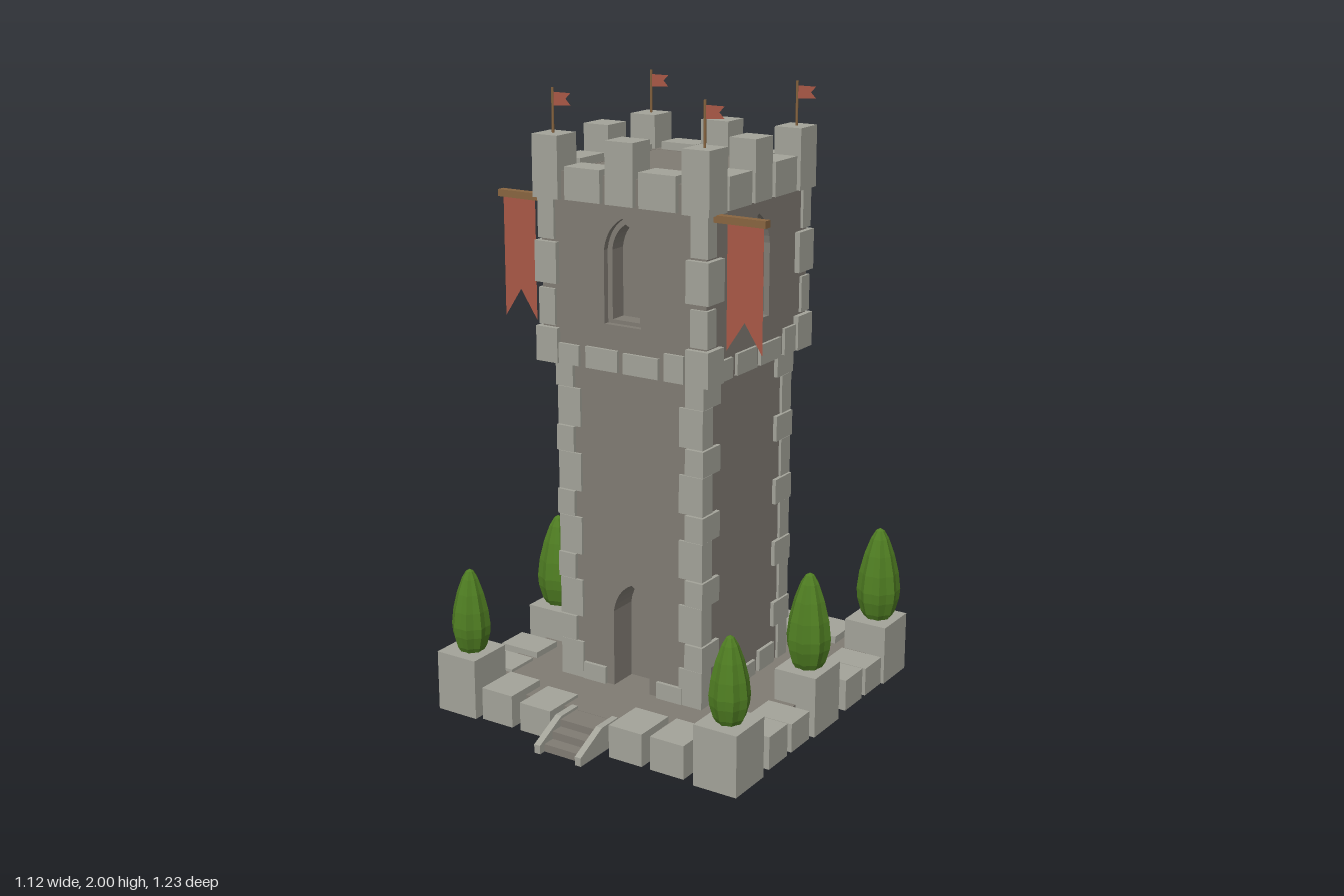
import * as THREE from 'three';

const CX = -0.005, CZ = -0.053; // tower axis

export function createModel() {
  const model = new THREE.Group();
  const mat = (name, color, extra = {}) =>
    Object.assign(new THREE.MeshStandardMaterial({ color, ...extra }), { name });
  const stone = mat('light stone', 0xa3a399);
  const wall = mat('wall stone', 0x807b73);
  const wood = mat('wood', 0x886540);
  const cloth = mat('red cloth', 0xa85846, { side: THREE.DoubleSide });
  const leaf = mat('leaf green', 0x4f7d22, { flatShading: true });

  const add = (name, geo, material, parent = model) => {
    const m = new THREE.Mesh(geo, material);
    m.name = name;
    parent.add(m);
    return m;
  };
  // box given by its limits
  const box = (name, material, x0, x1, y0, y1, z0, z1, parent = model) => {
    const m = add(name, new THREE.BoxGeometry(x1 - x0, y1 - y0, z1 - z0), material, parent);
    m.position.set((x0 + x1) / 2, (y0 + y1) / 2, (z0 + z1) / 2);
    return m;
  };

  // base slab and its ring of stones
  box('baseSlab', wall, -0.485, 0.49, 0.02, 0.095, -0.547, 0.423);
  const backRow = [[-0.394, -0.273, 0.115], [-0.243, -0.123, 0.105], [-0.08, 0.083, 0.2], [0.1, 0.214, 0.11], [0.25, 0.368, 0.12]];
  const frontRow = [[-0.384, -0.266, 0.118], [-0.234, -0.116, 0.105], [0.106, 0.227, 0.118], [0.257, 0.377, 0.12]];
  const leftCol = [[-0.436, -0.325, 0.105], [-0.302, -0.188, 0.115], [-0.142, 0.018, 0.2], [0.054, 0.165, 0.105], [0.191, 0.302, 0.118]];
  const rightCol = [[-0.426, -0.319, 0.118], [-0.29, -0.18, 0.105], [-0.142, 0.018, 0.2], [0.064, 0.175, 0.115], [0.198, 0.312, 0.105]];
  const low = (h) => (h > 0.15 ? 0 : 0.01);
  for (const [a, b, h] of backRow) box('baseStone', stone, a, b, low(h), h, -0.616, -0.472);
  for (const [a, b, h] of frontRow) box('baseStone', stone, a, b, low(h), h, 0.348, 0.497);
  for (const [a, b, h] of leftCol) box('baseStone', stone, 0.413, 0.56, low(h), h, a, b);
  for (const [a, b, h] of rightCol) box('baseStone', stone, -0.554, -0.407, low(h), h, a, b);
  for (const [x0, x1] of [[-0.565, -0.415], [0.41, 0.56]]) {
    box('cornerStone', stone, x0, x1, 0, 0.2, -0.616, -0.459);
    box('cornerStone', stone, x0, x1, 0, 0.2, 0.335, 0.495);
  }

  // entrance steps between sloping cheeks
  for (const [z, y] of [[0.59, 0.045], [0.547, 0.07], [0.505, 0.094]])
    box('step', wall, -0.075, 0.065, 0.02, y, 0.41, z);
  const cheek = new THREE.Shape([[0.413, 0.02], [0.613, 0.02], [0.613, 0.048], [0.5, 0.103], [0.413, 0.103]]
    .map(([z, y]) => new THREE.Vector2(z, y)));
  for (const x of [-0.07, 0.083]) {
    const m = add('stepCheek', new THREE.ExtrudeGeometry(cheek, { depth: 0.022, bevelEnabled: false }), stone);
    m.rotation.y = -Math.PI / 2;
    m.position.x = x;
  }

  // ribbed conical bushes
  const bushProfile = [[0, 0], [0.045, 0], [0.057, 0.02], [0.07, 0.065], [0.073, 0.1], [0.066, 0.16], [0.05, 0.225], [0.03, 0.28], [0.014, 0.307], [0, 0.315]]
    .map(([r, y]) => new THREE.Vector2(r, y));
  const bushGeo = new THREE.LatheGeometry(bushProfile, 16);
  const bp = bushGeo.attributes.position;
  for (let i = 0; i < bp.count; i++) {
    const rib = Math.floor(i / bushProfile.length) % 2 ? 0.88 : 1;
    bp.setXYZ(i, bp.getX(i) * rib, bp.getY(i), bp.getZ(i) * rib);
  }
  bushGeo.computeVertexNormals();
  [[-0.544, 1], [-0.063, 1], [0.417, 0.88]].forEach(([z, s], i) => {
    for (const x of [-0.486, 0.488]) {
      const b = add('bush', bushGeo, leaf);
      b.position.set(x, 0.199, z);
      b.scale.setScalar(s);
      b.rotation.y = 0.2 + i * 0.5 + (x > 0 ? 0.3 : 0);
    }
  });

  // pointed arch opening
  const arch = (half, y0, spring, top) => {
    const p = new THREE.Path();
    p.moveTo(-half, y0);
    p.lineTo(half, y0);
    p.lineTo(half, spring);
    p.quadraticCurveTo(half * 0.85, spring + (top - spring) * 0.7, 0, top);
    p.quadraticCurveTo(-half * 0.85, spring + (top - spring) * 0.7, -half, spring);
    p.closePath();
    return p;
  };
  // one wall plate facing +z, its outer face at z = face
  const plate = (name, size, y0, y1, face, depth, hole, parent) => {
    const s = new THREE.Shape([[-face, y0], [face - depth, y0], [face - depth, y1], [-face, y1]]
      .map(([x, y]) => new THREE.Vector2(x, y)));
    if (hole) s.holes.push(hole);
    const g = new THREE.ExtrudeGeometry(s, { depth, bevelEnabled: false, curveSegments: 6 });
    add(name, g, wall, parent).position.z = face - depth;
  };

  const tower = new THREE.Group();
  tower.name = 'tower';
  tower.position.set(CX, 0, CZ);
  model.add(tower);
  const LOW = 0.259, UP = 0.297; // half widths of shaft and upper room
  for (let k = 0; k < 4; k++) {
    const side = new THREE.Group();
    side.name = 'towerSide';
    side.rotation.y = k * Math.PI / 2;
    tower.add(side);
    plate('shaftWall', LOW, 0.05, 1.17, LOW, 0.1, k ? null : arch(0.068, 0.095, 0.35, 0.452), side);
    plate('windowSurround', UP, 1.16, 1.755, UP, 0.02, arch(0.067, 1.303, 1.53, 1.632), side);
    plate('upperWall', UP, 1.16, 1.755, UP - 0.02, 0.06, arch(0.05, 1.315, 1.53, 1.612), side);

    // belt of stones under the upper room
    for (const [a, b, h] of [[-0.249, -0.159, 1.222], [-0.133, -0.015, 1.225], [0.005, 0.132, 1.222], [0.153, 0.222, 1.243]])
      box('beltStone', stone, a, b, 1.157, h, UP - 0.04, UP + 0.01, side);
    // stones at the foot of the shaft
    for (const [a, b, h] of k ? [[-0.17, -0.07, 0.18], [-0.045, 0.06, 0.145], [0.085, 0.18, 0.165]] : [[-0.18, -0.095, 0.152], [0.1, 0.195, 0.15]])
      box('footStone', stone, a, b, 0.09, h, LOW - 0.04, LOW + 0.012, side);
    // merlons
    for (const [a, b, h] of [[-0.199, -0.07, 1.773], [-0.051, 0.049, 1.863], [0.069, 0.199, 1.78]])
      box('merlon', stone, a, b, 1.672, h, 0.221, 0.313, side);
  }
  box('shaftCore', wall, -0.16, 0.16, 0.03, 1.16, -0.16, 0.16, tower);
  box('upperCore', wall, -0.22, 0.22, 1.161, 1.754, -0.22, 0.22, tower);

  // corner stones, alternating long and short, with merlon and pennant
  const corner = (name, sx, sz, h, a, b, y0, y1) => {
    const m = add(name, new THREE.BoxGeometry(a, y1 - y0, b), stone, tower);
    m.position.set(sx * (h - a / 2), (y0 + y1) / 2, sz * (h - b / 2));
  };
  const pennant = new THREE.ShapeGeometry(new THREE.Shape([[0, 1.945], [0.066, 1.95], [0.048, 1.968], [0.066, 1.986], [0, 1.986]]
    .map(([x, y]) => new THREE.Vector2(x, y))));
  for (const sx of [-1, 1]) for (const sz of [-1, 1]) {
    let y = 0.095;
    for (let i = 0; i < 10; i++) {
      const h = i % 2 ? 0.086 : 0.127, out = i % 2 ? 0.272 : 0.268;
      corner('shaftQuoin', sx, sz, out, i % 2 ? 0.065 : 0.085, i % 2 ? 0.1 : 0.058, y, y + h - 0.003);
      y += h;
    }
    [[1.157, 1.268], [1.275, 1.39], [1.408, 1.537], [1.545, 1.668]].forEach(([y0, y1], i) =>
      corner('upperQuoin', sx, sz, i % 2 ? 0.306 : 0.314, i % 2 ? 0.06 : 0.08, i % 2 ? 0.05 : 0.09, y0, y1));
    corner('cornerMerlon', sx, sz, 0.316, 0.094, 0.1, 1.67, 1.863);
    const pole = add('pennantPole', new THREE.CylinderGeometry(0.004, 0.004, 0.14, 6), wood, tower);
    pole.position.set(sx * 0.27, 1.93, sz * 0.268);
    add('pennant', pennant, cloth, tower).position.set(sx * 0.27, 0, sz * 0.268);
  }

  // side banners with swallowtail ends
  const banner = new THREE.ShapeGeometry(new THREE.Shape([[-0.061, 1.655], [-0.061, 1.27], [0, 1.362], [0.061, 1.27], [0.061, 1.655]]
    .map(([x, y]) => new THREE.Vector2(x, y))));
  for (const s of [-1, 1]) {
    const x0 = CX + s * 0.28, x1 = CX + s * 0.48;
    box('bannerPole', wood, Math.min(x0, x1), Math.max(x0, x1), 1.65, 1.672, 0.196, 0.223);
    add('banner', banner, cloth).position.set(CX + s * 0.407, 0, 0.211);
  }
  return model;
}
